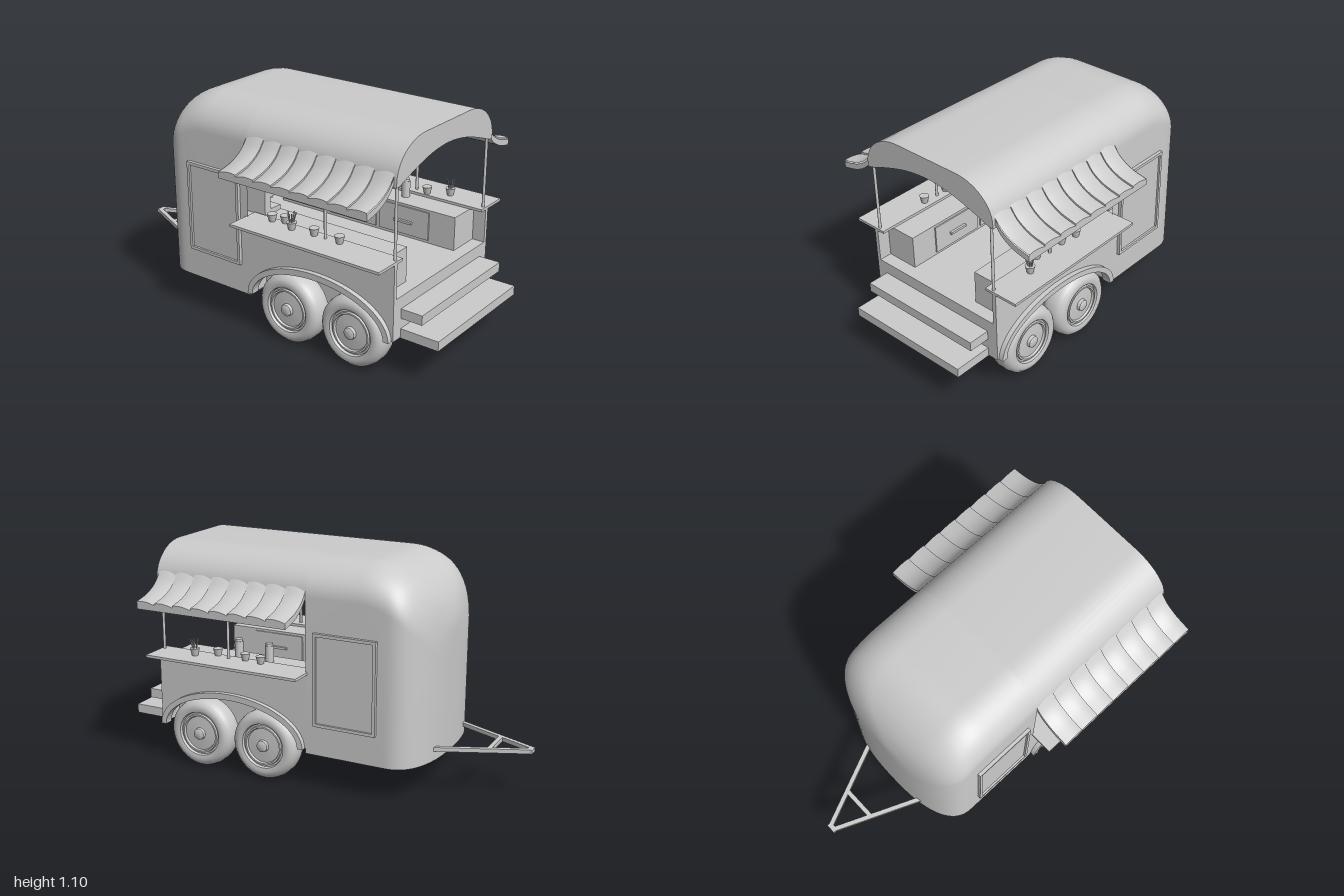
import * as THREE from 'three';
import { toCreasedNormals } from 'three/addons/utils/BufferGeometryUtils.js';

const grey = new THREE.MeshStandardMaterial({ color: 0xcccccc, side: THREE.DoubleSide });
const HALF = 0.39, FRONT = 0.714, OPEN = -0.1, ROOF = 1.105;

export function createModel() {
  const model = new THREE.Group();
  model.name = 'foodTrailer';
  const trailer = new THREE.Group();
  trailer.name = 'trailer';
  trailer.rotation.y = 0.3176;
  trailer.position.set(-0.092, 0, 0.03);
  model.add(trailer);

  const add = (name, geo, x = 0, y = 0, z = 0, parent = trailer) => {
    const mesh = new THREE.Mesh(geo, grey);
    mesh.name = name;
    mesh.position.set(x, y, z);
    parent.add(mesh);
    return mesh;
  };
  // Box given by its limits on each axis
  const box = (name, x0, x1, y0, y1, z0, z1) =>
    add(name, new THREE.BoxGeometry(Math.abs(x1 - x0), y1 - y0, z1 - z0), (x0 + x1) / 2, (y0 + y1) / 2, (z0 + z1) / 2);
  const cylinder = (name, r, h, x, y, z, top = r) =>
    add(name, new THREE.CylinderGeometry(top, r, h, 16), x, y + h / 2, z);

  // Skin a list of equal-length cross-sections, optionally closing the loops
  const loft = (rings, closed) => {
    const n = rings[0].length, index = [];
    for (let i = 0; i < rings.length - 1; i++)
      for (let j = 0; j < (closed ? n : n - 1); j++) {
        const a = i * n + j, b = i * n + (j + 1) % n;
        index.push(a, b, a + n, b, b + n, a + n);
      }
    const geo = new THREE.BufferGeometry();
    geo.setAttribute('position', new THREE.Float32BufferAttribute(rings.flat(2), 3));
    geo.setIndex(index);
    return toCreasedNormals(geo, 0.7);
  };

  // Body outline: straight sides with elliptical shoulders
  const section = (z, w, h, bottom) => {
    const pts = [[-w, bottom, z]], rx = Math.min(0.21, w), ry = 0.17, N = 12;
    for (let i = 0; i <= N; i++) {
      const a = i / N * Math.PI / 2;
      pts.push([-w + rx * (1 - Math.cos(a)), h - ry * (1 - Math.sin(a)), z]);
    }
    return pts.concat(pts.map(([x, y]) => [-x, y, z]).reverse());
  };

  // Roof over the open serving area
  add('frontRoof', loft([section(FRONT, HALF, ROOF, 0.92), section(OPEN, HALF, ROOF, 0.92)], false));

  // Closed rear body: bowed back wall, roof curving down into it
  const rear = [section(OPEN, HALF, ROOF, 0.177)];
  for (let i = 0; i <= 32; i++) {
    const a = i / 32 * Math.PI / 2, z = -0.36 - 0.325 * Math.sin(a);
    const k = Math.min(1, Math.max(0, (-0.5 - z) / 0.185));
    rear.push(section(z, HALF * Math.pow(1 - Math.pow(k, 2.5), 0.4), ROOF - 0.34 * (1 - Math.cos(a)), 0.177));
  }
  add('rearBody', loft(rear, true));

  // Arched fascia above the entrance
  const fascia = new THREE.Shape(section(0, HALF, ROOF, 0.915).map(([x, y]) => new THREE.Vector2(x, y)));
  for (let i = 0; i <= 20; i++) {
    const x = 0.365 * (1 - i / 10);
    fascia.lineTo(x, 0.918 + 0.087 * Math.cos(x / 0.365 * Math.PI / 2));
  }
  add('entranceFascia', new THREE.ExtrudeGeometry(fascia, { depth: 0.02, bevelEnabled: false }), 0, 0, FRONT - 0.02);

  // Floor, chassis and entrance steps
  box('floor', -0.375, 0.375, 0.375, 0.4, -0.5, FRONT - 0.002);
  box('chassis', -0.27, 0.27, 0.19, 0.38, -0.12, FRONT - 0.002);
  box('chassisBulkhead', -0.38, 0.38, 0.18, 0.39, -0.12, OPEN);
  box('frontSill', -0.38, 0.38, 0.2, 0.4, FRONT - 0.02, FRONT);
  box('upperStep', -0.333, 0.333, 0.293, 0.34, FRONT - 0.01, 0.823);
  box('lowerStep', -0.333, 0.333, 0.197, 0.243, FRONT - 0.01, 0.908);

  // Points of the wheel arch, from front to back
  const arch = (rx, ry) => Array.from({ length: 33 }, (_, i) => {
    const a = i / 32 * Math.PI;
    return new THREE.Vector2(0.305 + rx * Math.cos(a), 0.2 + ry * Math.sin(a));
  });
  const sidePanel = (name, points, depth, xOuter) => {
    const geo = new THREE.ExtrudeGeometry(new THREE.Shape(points), { depth, bevelEnabled: false });
    geo.rotateY(-Math.PI / 2);
    return add(name, toCreasedNormals(geo, 0.5), xOuter);
  };
  const V = (x, y) => new THREE.Vector2(x, y);

  // Wheel half-profile (radius, distance along the axle), mirrored to both faces
  const face = [[0.172, 0.02], [0.166, 0.044], [0.15, 0.06], [0.13, 0.066], [0.112, 0.061], [0.108, 0.048],
    [0.1, 0.048], [0.098, 0.058], [0.09, 0.058], [0.086, 0.048], [0.03, 0.052], [0.028, 0.067], [0.022, 0.071], [0, 0.071]];
  const tyre = [...face.map(([r, y]) => V(r, -y)).reverse(), ...face.map(([r, y]) => V(r, y))];
  const wheelGeo = toCreasedNormals(new THREE.LatheGeometry(tyre, 48), 0.6);

  // Awning: a sagging sheet made of eight arched strips
  const sag = new THREE.CatmullRomCurve3([[0.383, 0.968], [0.425, 0.918], [0.49, 0.88], [0.578, 0.858]]
    .map(([x, y]) => new THREE.Vector3(x, y, 0))).getPoints(10);
  const awning = side => {
    const rings = [], per = 6;
    for (let s = 0; s < 8; s++)
      for (let i = 0; i <= per; i++) {
        const u = i / per, z = OPEN + 0.1 * (s + u), lift = 0.018 * Math.sin(Math.PI * (0.1 + 0.6 * u)) - 0.008;
        const top = sag.map(p => [side * p.x, p.y + lift, z]);
        const under = sag.map(p => [side * p.x, p.y - 0.03, z]).reverse();
        rings.push([...top, ...under]);
      }
    return loft(rings, true);
  };
  const awningEnd = (side, z) => loft([sag.map(p => [side * p.x, p.y, z]), sag.map(p => [side * p.x, p.y - 0.03, z])], false);

  for (const side of [1, -1]) {
    const tag = side > 0 ? 'left' : 'right';
    const sx = (a, b) => [side * a, side * b];

    // Low side wall with the arch cut out, and the fender lip
    sidePanel(tag + 'SideWall', [V(OPEN, 0.57), V(OPEN, 0.2), ...arch(0.385, 0.19).reverse(), V(FRONT, 0.2), V(FRONT, 0.57)],
      0.02, side > 0 ? HALF : -HALF + 0.02);
    sidePanel(tag + 'Fender', [...arch(0.4, 0.212), ...arch(0.372, 0.182).reverse()], 0.045, side > 0 ? 0.414 : -0.369);

    // Tandem wheels
    for (const z of [0.49, 0.13])
      add(tag + 'Wheel', wheelGeo, side * 0.34, 0.174, z).rotation.z = -side * Math.PI / 2;

    // Serving shelf, posts and awning
    box(tag + 'ServingShelf', ...sx(0.33, 0.507), 0.567, 0.58, OPEN - 0.01, FRONT);
    for (const z of [0.7, 0.33]) cylinder(tag + 'Post', 0.007, 0.36, side * 0.367, 0.575, z);
    add(tag + 'Awning', awning(side));
    for (const z of [OPEN, 0.7]) add(tag + 'AwningEnd', awningEnd(side, z));

    // Side panel door with raised frame
    box(tag + 'Door', ...sx(0.3905, 0.397), 0.335, 0.765, -0.45, -0.157);
    for (const z of [-0.462, -0.16]) box(tag + 'DoorFrame', ...sx(0.3905, 0.407), 0.325, 0.775, z, z + 0.015);
    for (const y of [0.325, 0.76]) box(tag + 'DoorFrame', ...sx(0.3905, 0.407), y, y + 0.015, -0.462, -0.145);

    // Inner counter with three cupboard doors
    box(tag + 'Counter', ...sx(0.2, 0.37), 0.4, 0.567, -0.38, 0.65);
    for (let i = 0; i < 3; i++) {
      const z = -0.37 + i * 0.3;
      box(tag + 'CupboardDoor', ...sx(0.193, 0.2), 0.415, 0.555, z, z + 0.28);
      box(tag + 'CupboardHandle', ...sx(0.18, 0.193), 0.475, 0.487, z + 0.09, z + 0.19);
    }
  }

  // Tow frame
  const bar = (a, b) => {
    const p = new THREE.Vector3(...a), q = new THREE.Vector3(...b);
    const mesh = add('towBar', new THREE.BoxGeometry(0.022, 0.02, p.distanceTo(q)));
    mesh.position.copy(p).lerp(q, 0.5);
    mesh.rotation.y = Math.atan2(q.x - p.x, q.z - p.z);
  };
  for (const s of [1, -1]) bar([s * 0.21, 0.234, -0.62], [s * 0.012, 0.234, -1.073]);
  bar([-0.09, 0.234, -0.9], [0.09, 0.234, -0.9]);
  box('towCoupling', -0.024, 0.024, 0.224, 0.244, -1.085, -1.06);

  // Cups, some holding stirrers
  const cup = (x, z, stirrers) => {
    cylinder('cup', 0.015, 0.036, x, 0.58, z, 0.024);
    for (let i = 0; i < stirrers; i++) {
      const a = i * 2.4, m = cylinder('stirrer', 0.003, 0.075, x + 0.012 * Math.cos(a), 0.588, z + 0.012 * Math.sin(a));
      m.rotation.set(0.25 * Math.sin(a), 0, -0.25 * Math.cos(a));
    }
  };
  [[-0.38, 0.15, 5], [-0.37, 0.27, 0], [0.4, 0.5, 5], [0.35, 0.4, 0], [-0.37, 0.41, 0], [-0.36, 0.02, 0],
    [-0.34, 0.08, 0], [0.36, 0.24, 0], [0.37, 0.15, 0]].forEach(c => cup(...c));

  // Storage jars, cooler and coffee machine
  for (const z of [0.15, 0.32]) {
    cylinder('jar', 0.021, 0.08, 0.285, 0.567, z);
    cylinder('jarLid', 0.018, 0.012, 0.285, 0.647, z);
  }
  box('cooler', 0.235, 0.345, 0.567, 0.715, -0.25, -0.13);
  box('coffeeMachineBase', -0.315, -0.205, 0.567, 0.59, -0.2, -0.06);
  box('coffeeMachineBack', -0.315, -0.275, 0.59, 0.66, -0.2, -0.06);
  box('coffeeMachineHead', -0.315, -0.205, 0.65, 0.69, -0.2, -0.06);
  for (const z of [-0.165, -0.095]) cylinder('coffeeSpout', 0.012, 0.025, -0.235, 0.628, z);

  return model;
}
